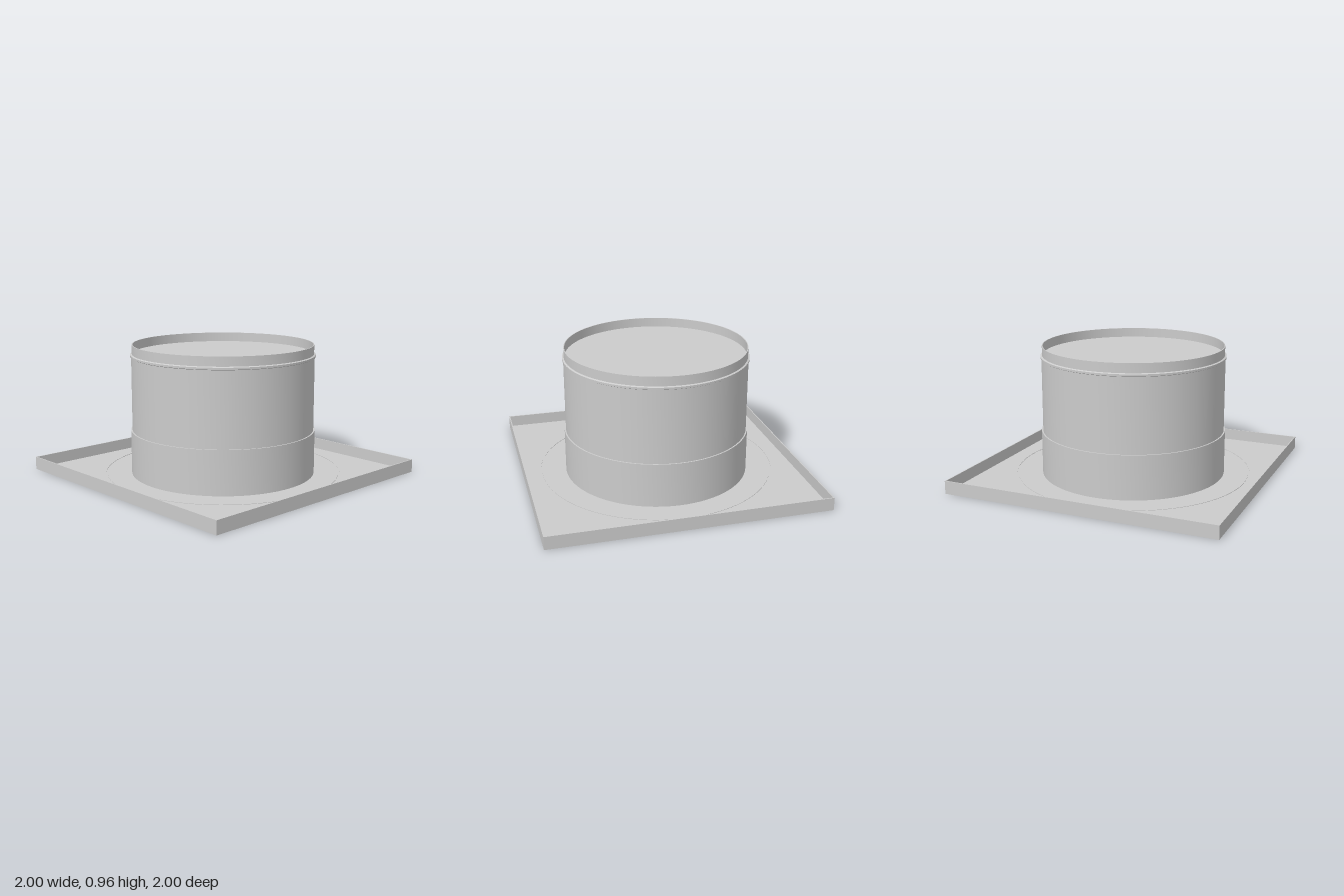
import * as THREE from 'three';
import { toCreasedNormals } from 'three/addons/utils/BufferGeometryUtils.js';

const SEGMENTS = 96;
const material = new THREE.MeshStandardMaterial({ color: 0xcccccc, side: THREE.DoubleSide });

function addMesh(group, name, geometry) {
  const mesh = new THREE.Mesh(geometry, material);
  mesh.name = name;
  group.add(mesh);
  return mesh;
}

// Turned part from a closed [radius, height] profile: up the outside, down the inside
function turned(profile) {
  const points = [...profile, profile[0]].map(([r, y]) => new THREE.Vector2(r, y));
  return toCreasedNormals(new THREE.LatheGeometry(points, SEGMENTS), 0.5);
}

// Flat ring or sleeve with a rectangular section
const ring = (inner, outer, low, high) =>
  turned([[outer, low], [outer, high], [inner, high], [inner, low]]);

export function createModel() {
  const group = new THREE.Group();
  const floor = 0.01;

  // Square tray floor with a round opening
  const square = new THREE.Shape();
  square.moveTo(-1, -1);
  square.lineTo(1, -1);
  square.lineTo(1, 1);
  square.lineTo(-1, 1);
  square.closePath();
  const opening = new THREE.Path();
  opening.absarc(0, 0, 0.87, 0, Math.PI * 2, true);
  square.holes.push(opening);
  const plate = new THREE.ExtrudeGeometry(square, {
    depth: floor, bevelEnabled: false, curveSegments: SEGMENTS / 2,
  });
  plate.rotateX(-Math.PI / 2);
  addMesh(group, 'trayFloor', toCreasedNormals(plate, 0.5));

  // Upturned edges around the tray
  for (let i = 0; i < 4; i++) {
    const edge = new THREE.BoxGeometry(2, 0.095, 0.008);
    edge.translate(0, 0.0475, 0.996);
    edge.rotateY(i * Math.PI / 2);
    addMesh(group, 'trayEdge', edge);
  }

  // Round panel, set off from the tray by a fine groove on both sides
  addMesh(group, 'grooveBed', ring(0.858, 0.872, 0.003, 0.007));
  addMesh(group, 'roundPanel', ring(0.675, 0.86, 0, floor));

  // Collar rising from the panel, with an inward flange at its top
  addMesh(group, 'collar', ring(0.672, 0.68, 0, 0.333));
  addMesh(group, 'innerFlange', ring(0.47, 0.676, 0.327, 0.333));

  // Duct with a small bead and a slightly narrower spigot
  addMesh(group, 'duct', turned([
    [0.67, 0.33], [0.67, 0.872], [0.677, 0.876], [0.677, 0.89],
    [0.665, 0.895], [0.665, 0.963], [0.659, 0.963], [0.659, 0.33],
  ]));

  // Closing discs inside the duct
  const discs = [['topCap', 0.89], ['innerDisc', 0.59]];
  for (const [name, y] of discs) {
    const disc = new THREE.CylinderGeometry(0.661, 0.661, 0.008, SEGMENTS);
    addMesh(group, name, disc).position.y = y;
  }

  return group;
}
